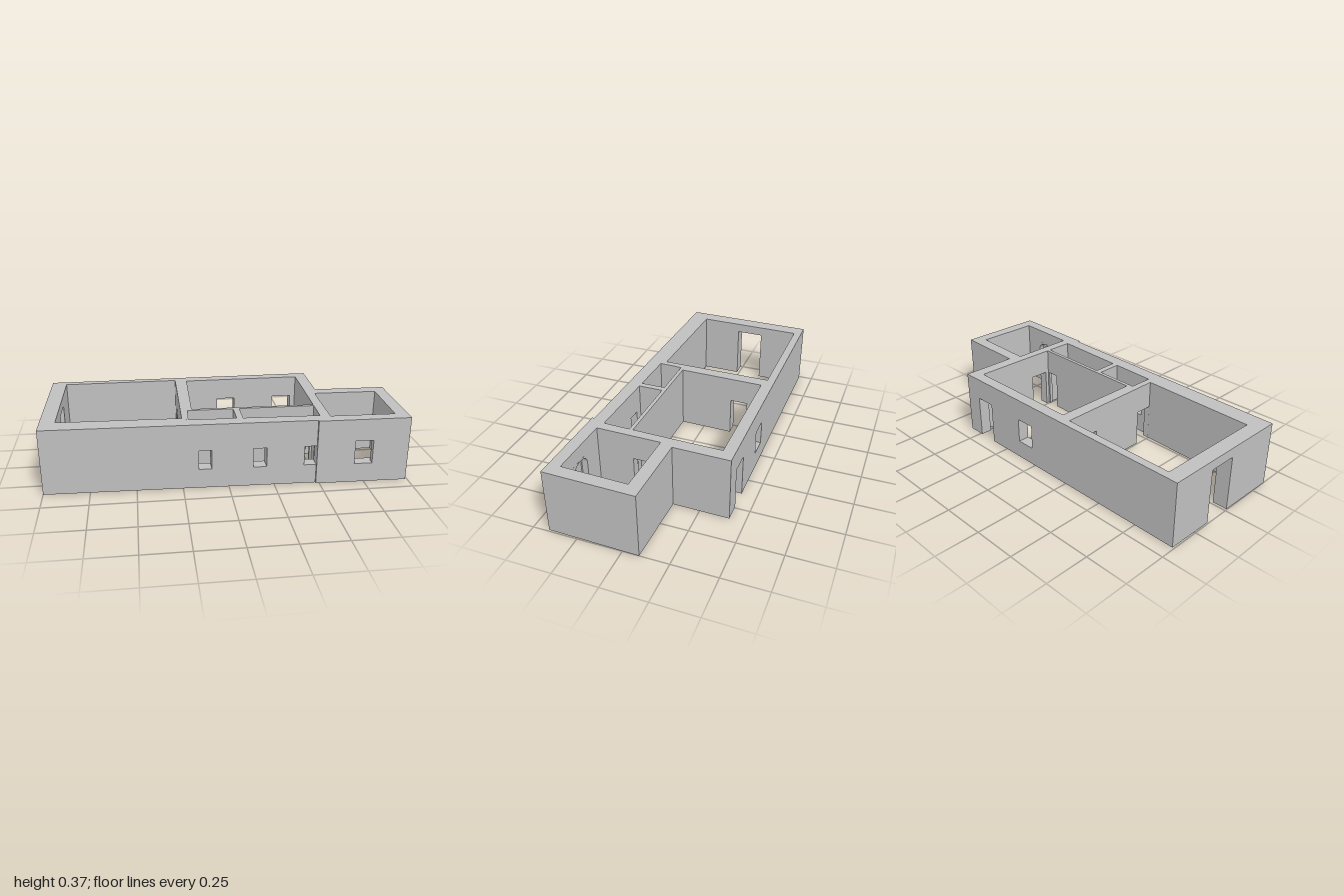
import * as THREE from 'three';

const H = 0.37; // wall height

export function createModel() {
  const house = new THREE.Group();
  house.name = 'houseWalls';
  const plaster = new THREE.MeshStandardMaterial({ color: 0xc0c0c0 });
  plaster.name = 'plaster';

  // Upright prism over a floor-plan polygon of [x, z] points
  function prism(parent, name, plan, y0, y1) {
    const shape = new THREE.Shape(plan.map(([x, z]) => new THREE.Vector2(x, -z)));
    const geo = new THREE.ExtrudeGeometry(shape, { depth: y1 - y0, bevelEnabled: false });
    geo.rotateX(-Math.PI / 2).translate(0, y0, 0);
    const mesh = new THREE.Mesh(geo, plaster);
    mesh.name = name;
    parent.add(mesh);
  }

  // Point on the plan line p-q where x (axis 0) or z (axis 1) equals c
  function at(p, q, axis, c) {
    const t = (c - p[axis]) / (q[axis] - p[axis]);
    return [p[0] + (q[0] - p[0]) * t, p[1] + (q[1] - p[1]) * t];
  }

  // Wall between side a0-a1 and side b0-b1; openings are [from, to, bottom, top]
  function wall(name, axis, a0, a1, b0, b1, openings = []) {
    const g = new THREE.Group();
    g.name = name;
    let a = a0, b = b0;
    for (const [from, to, bottom, top] of openings) {
      const aS = at(a0, a1, axis, from), bS = at(b0, b1, axis, from);
      const aE = at(a0, a1, axis, to), bE = at(b0, b1, axis, to);
      prism(g, 'wallPiece', [a, aS, bS, b], 0, H);
      if (bottom > 0) prism(g, 'sill', [aS, aE, bE, bS], 0, bottom);
      prism(g, 'lintel', [aS, aE, bE, bS], top, H);
      a = aE;
      b = bE;
    }
    prism(g, 'wallPiece', [a, a1, b1, b], 0, H);
    house.add(g);
  }

  // Large room and outer walls
  wall('leftEndWall', 1, [-0.99, -0.415], [-1, 0.355], [-0.905, -0.37], [-0.915, 0.25],
    [[-0.145, 0.015, 0, 0.315]]);
  wall('backWallLargeRoom', 0, [-0.99, -0.415], [-0.24, -0.415], [-0.905, -0.37], [-0.24, -0.37]);
  wall('backWallMiddleRoom', 0, [-0.24, -0.415], [0.59, -0.415], [-0.24, -0.35], [0.52, -0.35],
    [[0.02, 0.13, 0.105, 0.245], [0.373, 0.49, 0, 0.245]]);
  wall('frontWallLargeRoom', 0, [-1, 0.355], [-0.245, 0.373], [-0.915, 0.25], [-0.245, 0.27]);
  wall('frontWallSmallRooms', 0, [-0.245, 0.373], [0.505, 0.391], [-0.245, 0.294], [0.505, 0.32],
    [[-0.163, -0.094, 0.11, 0.22], [0.132, 0.206, 0.11, 0.22], [0.413, 0.482, 0.11, 0.22]]);

  // Inner partitions
  wall('largeRoomPartition', 1, [-0.24, -0.35], [-0.244, 0.16], [-0.17, -0.35], [-0.18, 0.14],
    [[-0.27, -0.17, 0, 0.225]]);
  wall('smallRoomDoorWall', 1, [-0.244, 0.16], [-0.245, 0.294], [-0.205, 0.16], [-0.21, 0.295],
    [[0.17, 0.27, 0, 0.21]]);
  wall('middlePartition', 0, [-0.18, 0.14], [0.51, 0.15], [-0.244, 0.16], [0.51, 0.17],
    [[0.43, 0.497, 0, 0.22]]);
  wall('smallRoomDivider', 1, [0.05, 0.16], [0.05, 0.31], [0.085, 0.16], [0.085, 0.31]);

  // Side room
  wall('middleRoomSideWall', 1, [0.52, -0.35], [0.514, -0.03], [0.59, -0.415], [0.584, -0.03]);
  wall('sideRoomPartition', 1, [0.514, -0.03], [0.505, 0.336], [0.565, -0.03], [0.56, 0.336],
    [[0.02, 0.13, 0, 0.225]]);
  wall('sideRoomBackWall', 0, [0.575, -0.1], [1, -0.09], [0.565, -0.03], [0.93, -0.02]);
  wall('sideRoomEndWall', 1, [1, -0.09], [0.99, 0.413], [0.93, -0.02], [0.92, 0.345]);

  // Side room front: square window outside, wider arched recess inside
  wall('sideRoomFrontOuter', 0, [0.48, 0.403], [0.99, 0.413], [0.48, 0.368], [0.955, 0.379],
    [[0.69, 0.79, 0.11, 0.245]]);
  wall('sideRoomFrontInner', 0, [0.48, 0.368], [0.955, 0.379], [0.48, 0.333], [0.92, 0.345],
    [[0.68, 0.81, 0.11, 0.285]]);
  const arch = new THREE.Shape();
  arch.moveTo(0.68, 0.285).lineTo(0.68, 0.23);
  arch.absellipse(0.745, 0.23, 0.065, 0.05, Math.PI, 0, true);
  arch.lineTo(0.81, 0.285);
  const archGeo = new THREE.ExtrudeGeometry(arch, { depth: 0.035, bevelEnabled: false, curveSegments: 12 });
  const pos = archGeo.attributes.position;
  for (let i = 0; i < pos.count; i++) { // follow the slight slant of the wall
    pos.setZ(i, pos.getZ(i) + 0.333 + (pos.getX(i) - 0.48) * 0.025);
  }
  archGeo.computeVertexNormals();
  const archMesh = new THREE.Mesh(archGeo, plaster);
  archMesh.name = 'windowArch';
  house.add(archMesh);

  return house;
}
